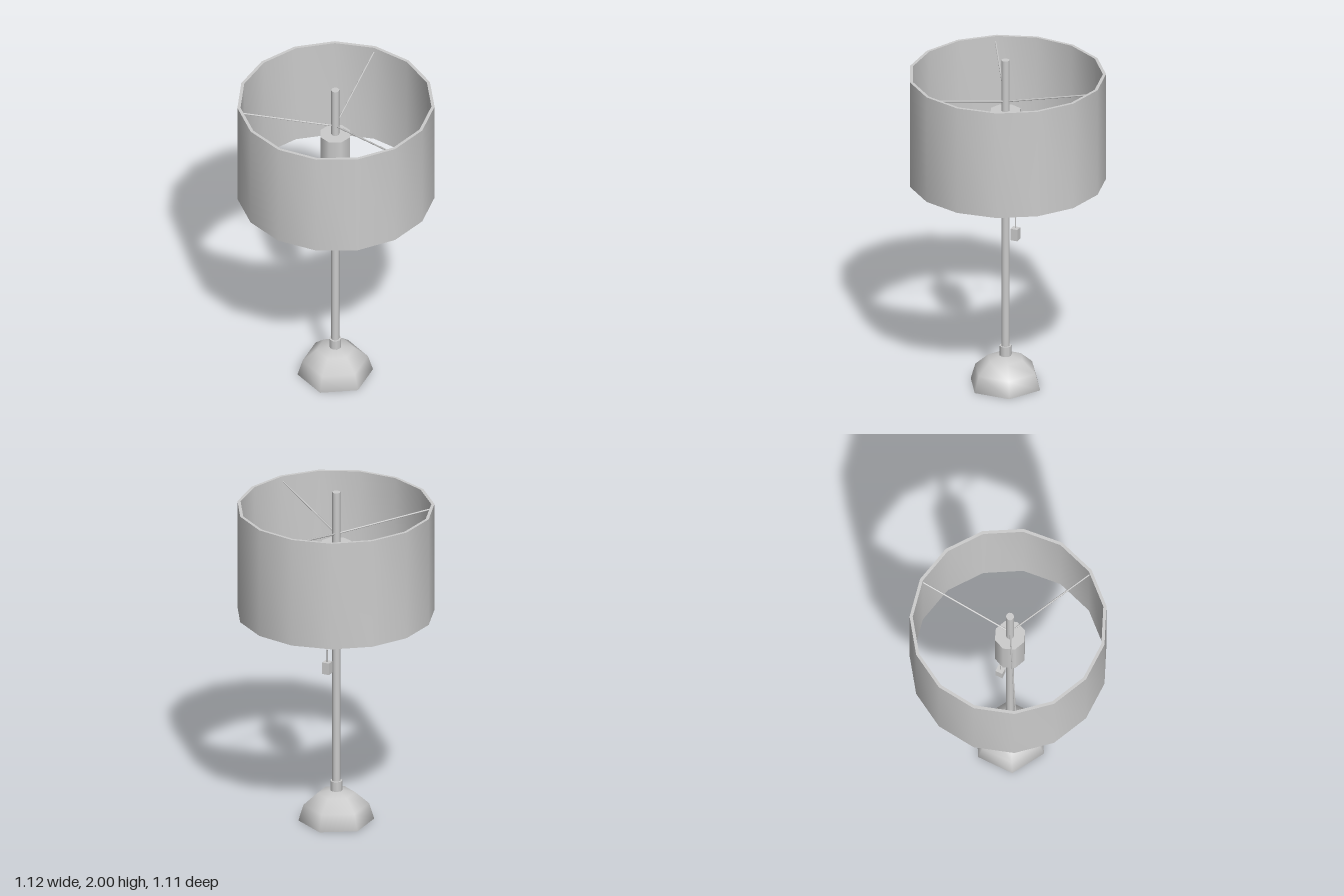
import * as THREE from 'three';
import { toCreasedNormals } from 'three/addons/utils/BufferGeometryUtils.js';

const AXIS_Z = 0.015; // the post stands slightly forward of the centre

export function createModel() {
  const lamp = new THREE.Group();
  lamp.name = 'tableLamp';
  const grey = new THREE.MeshStandardMaterial({ color: 0xcccccc });
  const greyOpen = new THREE.MeshStandardMaterial({ color: 0xcccccc, side: THREE.DoubleSide });

  function add(name, geometry, x, y, z, material = grey) {
    const mesh = new THREE.Mesh(geometry, material);
    mesh.name = name;
    mesh.position.set(x, y, z);
    lamp.add(mesh);
    return mesh;
  }

  // Upright cylinder between two heights
  function upright(name, radius, y0, y1, sides, x = 0, z = AXIS_Z) {
    return add(name, new THREE.CylinderGeometry(radius, radius, y1 - y0, sides), x, (y0 + y1) / 2, z);
  }

  // Hollow six-sided dome foot
  const dome = new THREE.SphereGeometry(0.215, 6, 3, 0, Math.PI * 2, 0, Math.PI / 2);
  dome.rotateY(Math.PI / 2);
  add('base', dome, 0, 0, AXIS_Z, greyOpen).scale.y = 0.19 / 0.215;

  // Post, collar and bulb socket
  upright('collar', 0.034, 0.17, 0.24, 10);
  upright('post', 0.023, 0.18, 2, 12);
  upright('socket', 0.09, 1.38, 1.69, 8);

  // Fifteen-sided drum shade with a wall thickness
  const wall = [[0.561, 1.27], [0.561, 1.915], [0.543, 1.915], [0.543, 1.27], [0.561, 1.27]]
    .map(([r, y]) => new THREE.Vector2(r, y));
  const drum = new THREE.LatheGeometry(wall, 15);
  drum.rotateY(Math.PI);
  add('shade', toCreasedNormals(drum, 0.6), 0, 0, 0.006);

  // Three spokes rising from the post to the shade
  for (let i = 0; i < 3; i++) {
    const angle = Math.PI + (i * Math.PI * 2) / 3;
    const reach = 0.55;
    const path = new THREE.LineCurve3(
      new THREE.Vector3(0, 1.745, AXIS_Z),
      new THREE.Vector3(Math.sin(angle) * reach, 1.885, AXIS_Z + Math.cos(angle) * reach)
    );
    add('spoke', new THREE.TubeGeometry(path, 1, 0.005, 6), 0, 0, 0);
  }

  // Pull chain with beads and a block-shaped handle
  const chainX = 0.022, chainZ = -0.056;
  upright('pullChain', 0.003, 0.98, 1.4, 6, chainX, chainZ);
  for (let y = 1.06; y < 1.38; y += 0.065) {
    add('chainBead', new THREE.SphereGeometry(0.006, 6, 4), chainX, y, chainZ);
  }
  add('pullHandle', new THREE.BoxGeometry(0.043, 0.07, 0.043), chainX, 0.95, chainZ);

  return lamp;
}
